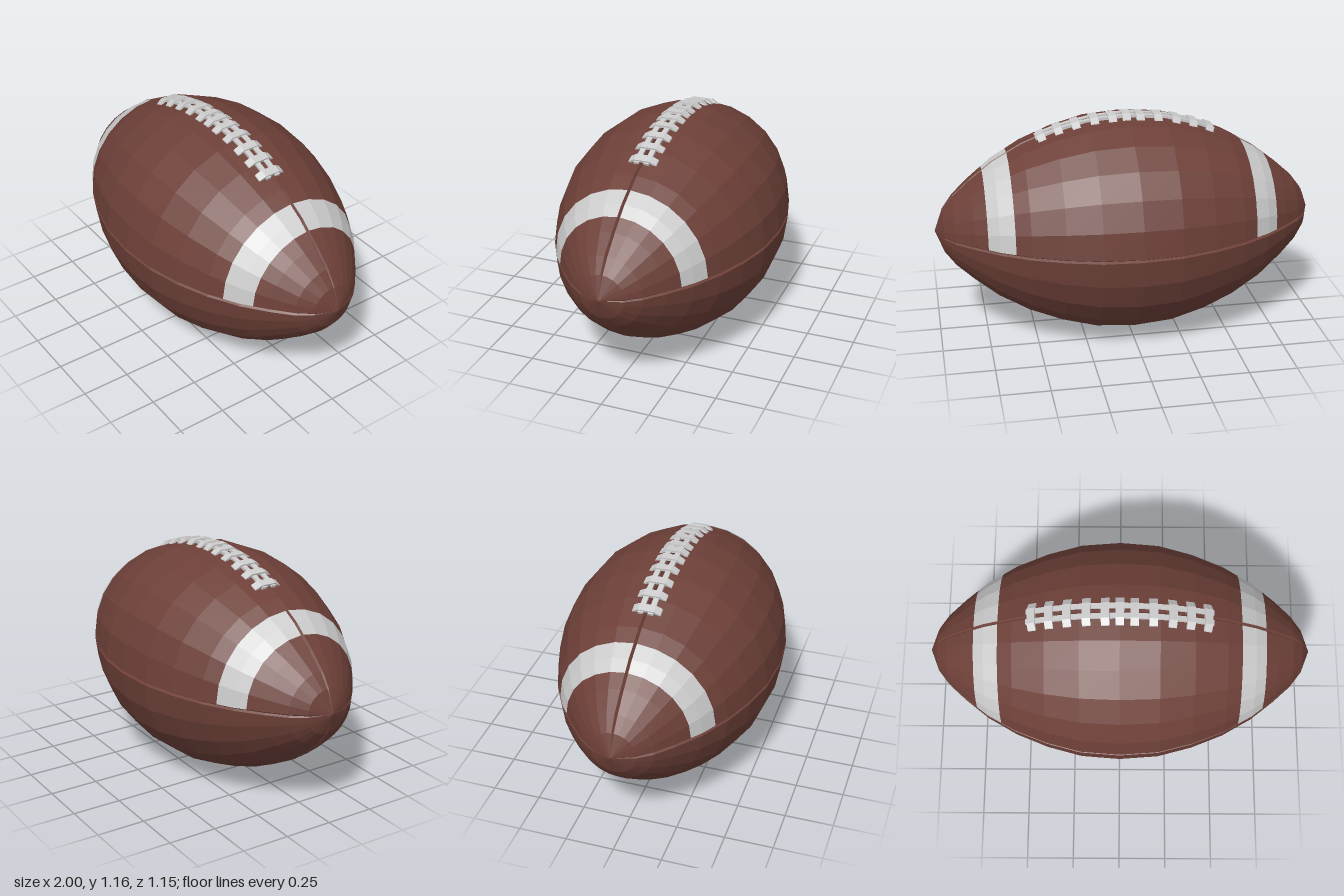
import * as THREE from 'three';

const CENTER_Y = 0.573;
const STRIPE = [0.615, 0.745];

// Half profile: distance along the ball, radius
const HALF = [
  [0, 0.573], [0.2, 0.558], [0.375, 0.512], [0.54, 0.447], [0.615, 0.404],
  [0.69, 0.362], [0.745, 0.319], [0.81, 0.268], [0.9, 0.187], [0.955, 0.115], [1, 0],
];

function radiusAt(x) {
  const d = Math.abs(x);
  const i = Math.max(1, HALF.findIndex((p) => p[0] >= d));
  const [x0, r0] = HALF[i - 1];
  const [x1, r1] = HALF[i];
  return r0 + ((r1 - r0) * (d - x0)) / (x1 - x0);
}

// One cross-section: 24 sides, with a V groove at each of the four seams
function ring(x) {
  const r = radiusAt(x);
  const halfWidth = Math.min(0.008, r * 0.05);
  const depth = Math.min(0.014, r * 0.08);
  const points = [];
  const add = (a, rad, groove = false) =>
    points.push({ p: [x, CENTER_Y + rad * Math.sin(a), rad * Math.cos(a)], a, groove });
  for (let i = 0; i < 24; i++) {
    const a = (i * Math.PI) / 12;
    if (i % 6 === 0) {
      const d = r > 0 ? halfWidth / r : 0.05;
      add(a - d, r);
      add(a, r - depth, true);
      add(a + d, r);
    } else add(a, r);
  }
  return points;
}

function meshFrom(name, positions, material) {
  const geometry = new THREE.BufferGeometry();
  geometry.setAttribute('position', new THREE.Float32BufferAttribute(positions, 3));
  geometry.computeVertexNormals();
  const mesh = new THREE.Mesh(geometry, material);
  mesh.name = name;
  return mesh;
}

export function createModel() {
  const leather = new THREE.MeshStandardMaterial({ color: 0x6d4038, flatShading: true });
  const white = new THREE.MeshStandardMaterial({ color: 0xcccccc, flatShading: true });
  const model = new THREE.Group();
  model.name = 'ball';

  // Leather shell, with stripes cut from the upper half of two bands
  const xs = [...HALF.slice(1).reverse().map((p) => -p[0]), ...HALF.map((p) => p[0])];
  const rings = xs.map(ring);
  const faces = { shell: [], leftStripe: [], rightStripe: [] };
  for (let i = 0; i < rings.length - 1; i++) {
    const mid = (xs[i] + xs[i + 1]) / 2;
    const inBand = Math.abs(mid) > STRIPE[0] && Math.abs(mid) < STRIPE[1];
    const n = rings[i].length;
    for (let j = 0; j < n; j++) {
      const k = (j + 1) % n;
      const [a, b, c, d] = [rings[i][j], rings[i + 1][j], rings[i + 1][k], rings[i][k]];
      const upper = a.a > 0 && a.a < Math.PI - 0.1;
      const striped = inBand && upper && !a.groove && !d.groove;
      const target = striped ? (mid > 0 ? 'leftStripe' : 'rightStripe') : 'shell';
      if (i < rings.length - 2) faces[target].push(...a.p, ...b.p, ...c.p);
      else faces[target].push(...a.p, ...b.p, ...d.p);
      if (i > 0 && i < rings.length - 2) faces[target].push(...a.p, ...c.p, ...d.p);
    }
  }
  for (const name in faces) {
    model.add(meshFrom(name, faces[name], name === 'shell' ? leather : white));
  }

  // Laces: arched cross straps over two lengthwise rails
  const laces = new THREE.Group();
  laces.name = 'laces';
  model.add(laces);
  const topAt = (x) => CENTER_Y + radiusAt(x);
  const stops = [-0.437, -0.35, -0.26, -0.165, -0.072, 0, 0.072, 0.165, 0.26, 0.35, 0.437];

  const arch = new THREE.Shape([
    [-0.077, -0.018], [-0.04, 0.002], [0.04, 0.002], [0.077, -0.018],
    [0.072, -0.004], [0.04, 0.016], [-0.04, 0.016], [-0.072, -0.004],
  ].map((p) => new THREE.Vector2(...p)));
  const strap = new THREE.ExtrudeGeometry(arch, { depth: 0.042, bevelEnabled: false });
  strap.translate(0, 0, -0.021);
  strap.rotateY(Math.PI / 2);

  for (const x of stops) {
    const mesh = new THREE.Mesh(strap, white);
    mesh.name = 'crossLace';
    mesh.position.set(x, topAt(x), 0);
    mesh.rotation.z = Math.atan2(topAt(x + 0.04) - topAt(x - 0.04), 0.08);
    laces.add(mesh);
  }

  const railStops = [-0.465, ...stops.slice(1, -1), 0.465];
  for (const z of [-0.026, 0.026]) {
    for (let i = 0; i < railStops.length - 1; i++) {
      const [x0, x1] = [railStops[i], railStops[i + 1]];
      const [y0, y1] = [topAt(x0), topAt(x1)];
      const rail = new THREE.Mesh(
        new THREE.BoxGeometry(Math.hypot(x1 - x0, y1 - y0) + 0.002, 0.016, 0.027), white);
      rail.name = 'laceRail';
      rail.position.set((x0 + x1) / 2, (y0 + y1) / 2 + 0.002, z);
      rail.rotation.z = Math.atan2(y1 - y0, x1 - x0);
      laces.add(rail);
    }
  }
  return model;
}
